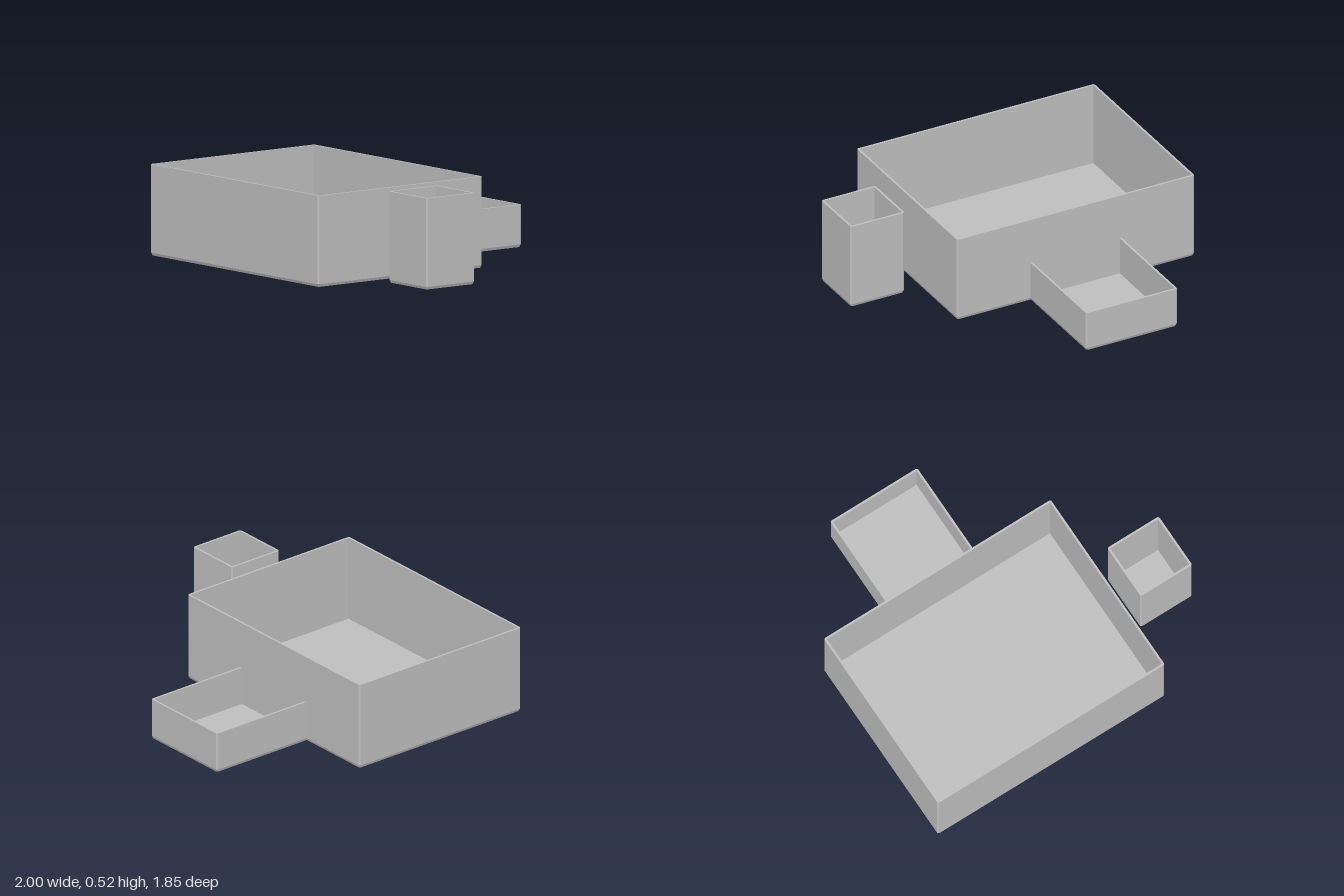
import * as THREE from 'three';

const WALL = 0.013, FLOOR = 0.016, CHAMFER = 0.008, INSET = 0.006;

// Rectangle in x/z with chamfered corners; an open end keeps its +z corners square
function outline(x0, x1, z0, z1, openEnd) {
  const c = CHAMFER, e = openEnd ? 0 : c;
  const pts = [[x0 + c, z0], [x1 - c, z0], [x1, z0 + c], [x1, z1 - e]];
  if (!openEnd) pts.push([x1 - e, z1], [x0 + e, z1]);
  pts.push([x0, z1 - e], [x0, z0 + c]);
  return pts.map(([x, z]) => new THREE.Vector2(x, z));
}

// Vertical prism of a plan shape between two heights
function prism(shape, y0, y1) {
  const g = new THREE.ExtrudeGeometry(shape, { depth: y1 - y0, bevelEnabled: false });
  return g.rotateX(Math.PI / 2).translate(0, y1, 0);
}

// Floor slab whose underside is drawn in to bevel the lower edge
function floorGeometry(x0, x1, z0, z1, openEnd) {
  const g = prism(new THREE.Shape(outline(x0, x1, z0, z1, openEnd)), 0, FLOOR);
  const p = g.attributes.position, cx = (x0 + x1) / 2, cz = (z0 + z1) / 2;
  for (let i = 0; i < p.count; i++) {
    if (p.getY(i) > FLOOR / 2) continue;
    const x = p.getX(i), z = p.getZ(i);
    p.setX(i, x - Math.sign(x - cx) * INSET);
    if (!(openEnd && z > cz)) p.setZ(i, z - Math.sign(z - cz) * INSET);
  }
  g.computeVertexNormals();
  return g;
}

// Thin walls around an open top
function wallGeometry(x0, x1, z0, z1, height, openEnd) {
  const a = x0 + WALL, b = x1 - WALL, c = z0 + WALL, d = z1 - WALL;
  let shape;
  if (openEnd) {
    const inner = [[b, z1], [b, c], [a, c], [a, z1]].map(([x, z]) => new THREE.Vector2(x, z));
    const o = outline(x0, x1, z0, z1, true);
    // outer run up to the open right end, back along the inside, then the left end
    shape = new THREE.Shape([...o.slice(0, 4), ...inner, ...o.slice(4)]);
  } else {
    shape = new THREE.Shape(outline(x0, x1, z0, z1, false));
    const hole = [[a, c], [a, d], [b, d], [b, c]].map(([x, z]) => new THREE.Vector2(x, z));
    shape.holes.push(new THREE.Path(hole));
  }
  return prism(shape, FLOOR, height);
}

export function createModel() {
  const model = new THREE.Group();
  model.name = 'openTrays';
  const grey = new THREE.MeshStandardMaterial({ color: 0xbfbfbf });
  grey.name = 'grey';

  function addTray(name, x0, x1, z0, z1, height, openEnd = false) {
    const tray = new THREE.Group();
    tray.name = name;
    const floor = new THREE.Mesh(floorGeometry(x0, x1, z0, z1, openEnd), grey);
    floor.name = name + 'Floor';
    const walls = new THREE.Mesh(wallGeometry(x0, x1, z0, z1, height, openEnd), grey);
    walls.name = name + 'Walls';
    tray.add(floor, walls);
    model.add(tray);
  }

  // Large tray, low tray joined to its rear wall, and a separate tall box
  addTray('mainTray', -1, 0.54, -0.265, 0.925, 0.525);
  addTray('rearTray', -0.527, 0.065, -0.925, -0.256, 0.245, true);
  addTray('smallBox', 0.65, 1, 0.155, 0.505, 0.525);
  return model;
}
